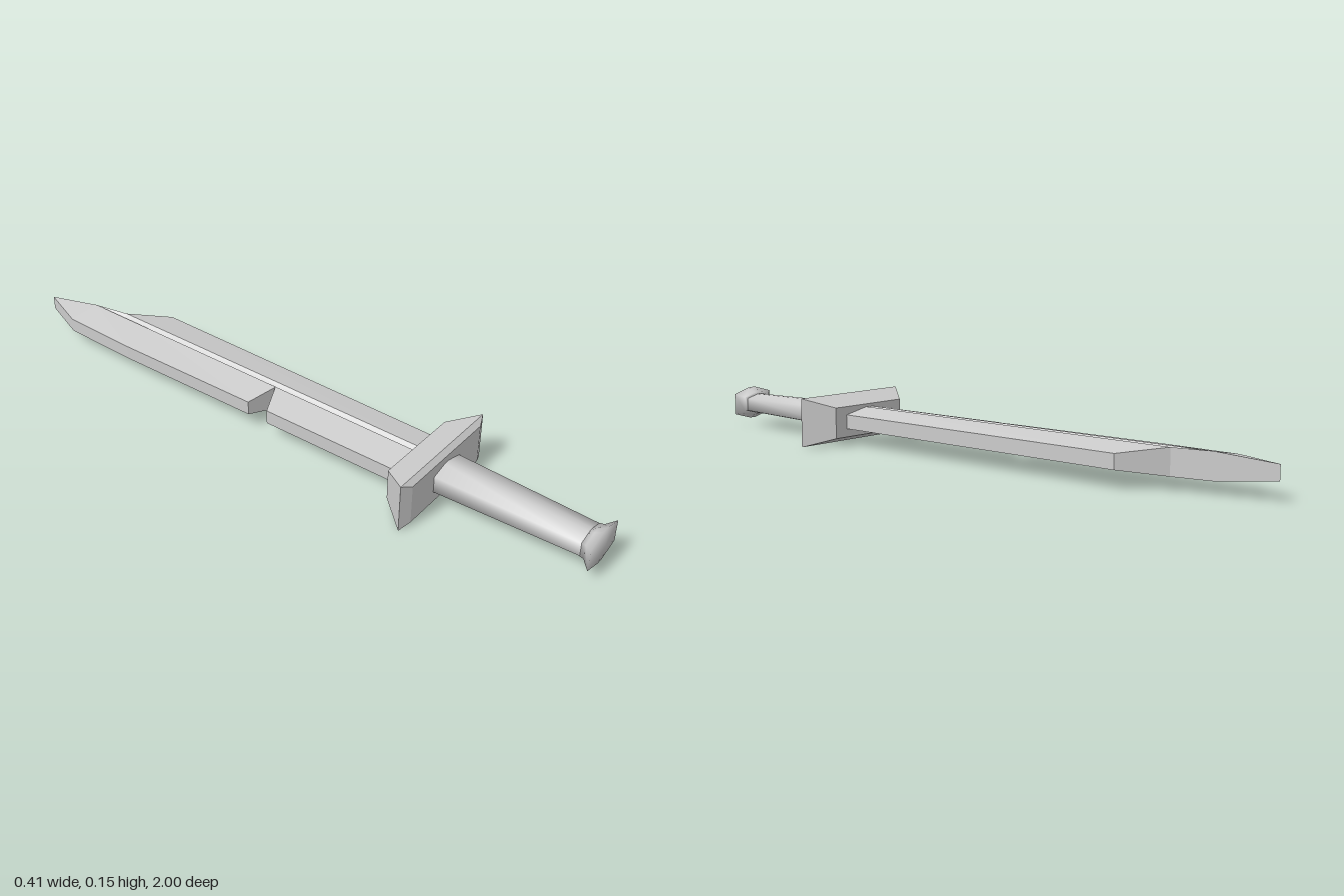
import * as THREE from 'three';

const MID = 0.076; // height of the sword's centre line
const RIDGE = 0.039, EDGE = 0.022, GROOVE = 0.028; // half thicknesses of the blade

function makeMesh(name, positions, index, flat) {
  let g = new THREE.BufferGeometry();
  g.setAttribute('position', new THREE.Float32BufferAttribute(positions, 3));
  if (index) g.setIndex(index);
  if (flat && index) g = g.toNonIndexed();
  g.computeVertexNormals();
  const mesh = new THREE.Mesh(g, new THREE.MeshStandardMaterial({ color: 0xcccccc, flatShading: flat }));
  mesh.name = name;
  return mesh;
}

// Joins scaled copies [z, halfWidth, halfHeight] of an outline along z and closes both ends.
function loft(name, outline, rings, flat) {
  const n = outline.length, pos = [], index = [];
  for (const [z, w, h] of rings)
    for (const [x, y] of outline) pos.push(x * w, MID + y * h, z);
  const last = (rings.length - 1) * n, back = rings.length * n, front = back + 1;
  pos.push(0, MID, rings[0][0], 0, MID, Math.min(1, rings.at(-1)[0] + (flat ? 0 : 0.007)));
  for (let i = 0; i < n; i++) {
    const j = (i + 1) % n;
    for (let r = 0; r < last; r += n)
      index.push(r + i, r + j, r + n + j, r + i, r + n + j, r + n + i);
    index.push(back, j, i, front, last + i, last + j);
  }
  return makeMesh(name, pos, index, flat);
}

// Blade points are [x, z, half thickness].
const top = ([x, z, h]) => [x, MID + h, z];
const bottom = ([x, z, h]) => [x, MID - h, z];

function quad(out, a, b, c, d) {
  out.push(...a, ...b, ...c, ...a, ...c, ...d);
}

// Mirrored top and bottom skins between a line on the -x side and one on the +x side.
function skins(out, left, right) {
  for (let i = 0; i < left.length - 1; i++) {
    const c = [left[i], right[i], right[i + 1], left[i + 1]];
    quad(out, ...c.map(top));
    quad(out, ...c.reverse().map(bottom));
  }
}

function createBlade() {
  const out = [];
  const tip = [-0.045, -1, EDGE], ridgeEnd = [-0.012, -0.83, RIDGE];
  const leftRidge = (z) => [-0.012, z, RIDGE];
  const rightRidge = (z) => [0.01, z, RIDGE];

  // left half with its notch and point
  const leftEdge = [
    [-0.1, 0.45, EDGE], [-0.104, -0.04, EDGE], [-0.014, -0.08, RIDGE],
    [-0.104, -0.11, EDGE], [-0.11, -0.6, EDGE], [-0.104, -0.85, EDGE], tip,
  ];
  const leftInner = [0.45, -0.04, -0.08, -0.11, -0.6].map(leftRidge).concat([ridgeEnd, tip]);
  skins(out, leftEdge, leftInner);

  // right half, broken off short
  const rightEdge = [[0.095, 0.45, EDGE], [0.105, -0.605, EDGE], rightRidge(-0.715)];
  skins(out, [0.45, -0.605, -0.715].map(rightRidge), rightEdge);

  // central groove
  const groove = [[-0.001, 0.45, GROOVE], [-0.001, -0.715, GROOVE], ridgeEnd];
  skins(out, [leftRidge(0.45), leftRidge(-0.715), ridgeEnd], groove);
  skins(out, groove, [rightRidge(0.45), rightRidge(-0.715), ridgeEnd]);

  // blunt wall around the whole outline
  const rim = [...rightEdge, ridgeEnd, ...leftEdge.slice().reverse()];
  for (let i = 0; i < rim.length - 1; i++)
    quad(out, bottom(rim[i]), bottom(rim[i + 1]), top(rim[i + 1]), top(rim[i]));
  return makeMesh('blade', out, null, true);
}

export function createModel() {
  const group = new THREE.Group();
  group.name = 'sword';

  const box = [[1, -1], [1, 1], [-1, 1], [-1, -1]];
  const grip = [
    [1, -0.65], [1, 0.65], [0.16, 1], [-0.16, 1],
    [-1, 0.65], [-1, -0.65], [-0.16, -1], [0.16, -1],
  ];

  group.add(createBlade());
  // guard flares towards the handle, with a bevelled front
  group.add(loft('guard', box, [[0.415, 0.14, 0.048], [0.5, 0.206, 0.076], [0.515, 0.17, 0.062]], true));
  group.add(loft('handle', grip, [[0.5, 0.063, 0.041], [0.96, 0.05, 0.032]], false));
  group.add(loft('pommel', grip, [[0.955, 0.05, 0.034], [0.968, 0.052, 0.036], [0.993, 0.075, 0.053]], false));
  return group;
}
